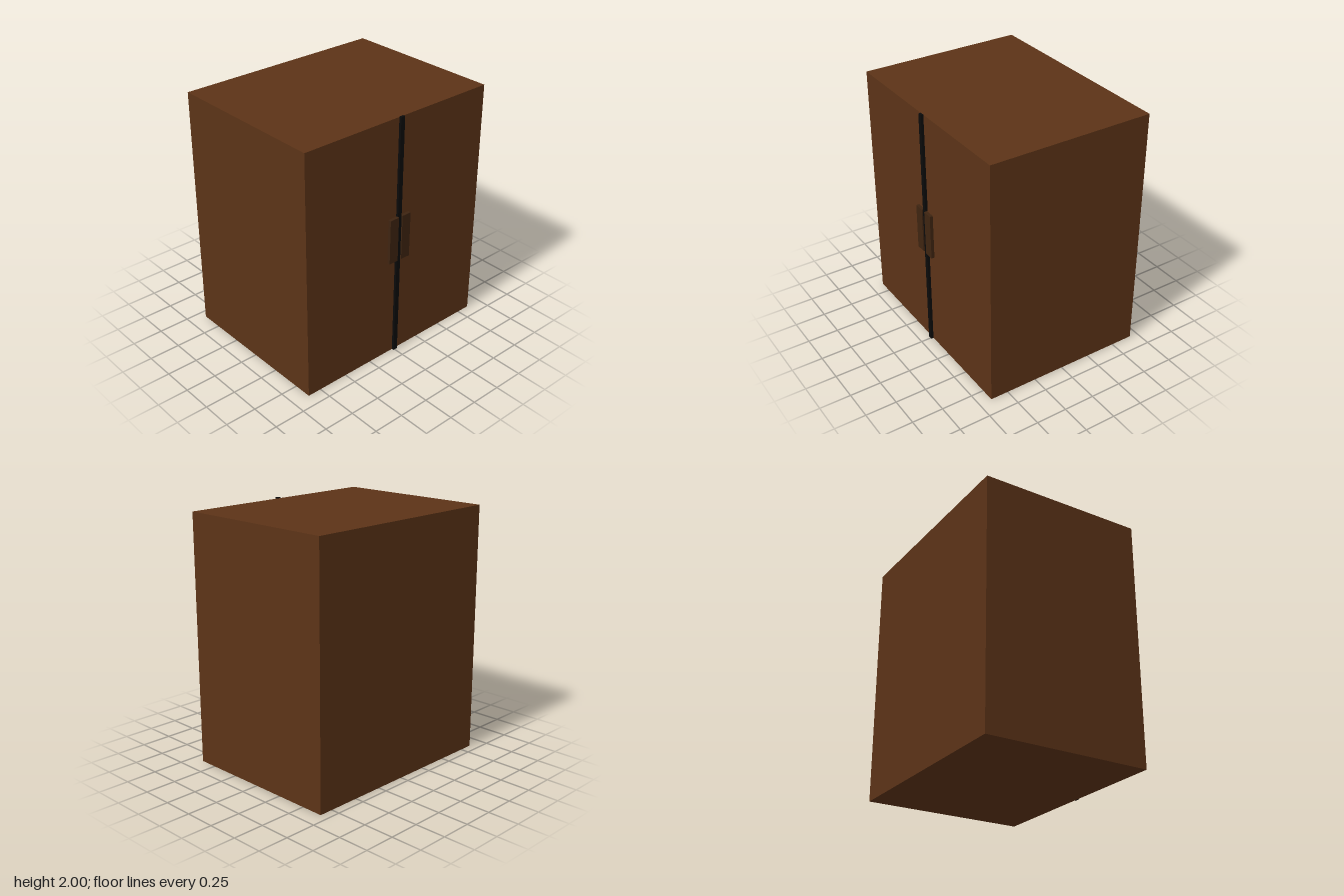
import * as THREE from 'three';

export function createModel() {
  const model = new THREE.Group();
  model.name = 'cabinet';

  const wood = new THREE.MeshStandardMaterial({ color: 0x5c3317 });
  const darkWood = new THREE.MeshStandardMaterial({ color: 0x3e2411 });
  const black = new THREE.MeshStandardMaterial({ color: 0x0a0a0a });

  // Box given by its minimum and maximum corners
  function addBox(name, material, [x0, y0, z0], [x1, y1, z1]) {
    const mesh = new THREE.Mesh(new THREE.BoxGeometry(x1 - x0, y1 - y0, z1 - z0), material);
    mesh.position.set((x0 + x1) / 2, (y0 + y1) / 2, (z0 + z1) / 2);
    mesh.name = name;
    model.add(mesh);
  }

  // Closed cabinet body
  addBox('body', wood, [-0.862, 0, -0.68], [0.862, 1.993, 0.646]);

  // Dark strip where the two doors meet, just proud of the front
  addBox('doorGap', black, [-0.018, 0.007, 0.651], [0.018, 2, 0.671]);

  // Flat handle plates on either side of the strip
  addBox('leftHandle', darkWood, [0.018, 0.84, 0.656], [0.1, 1.21, 0.681]);
  addBox('rightHandle', darkWood, [-0.1, 0.84, 0.656], [-0.018, 1.21, 0.681]);

  return model;
}
